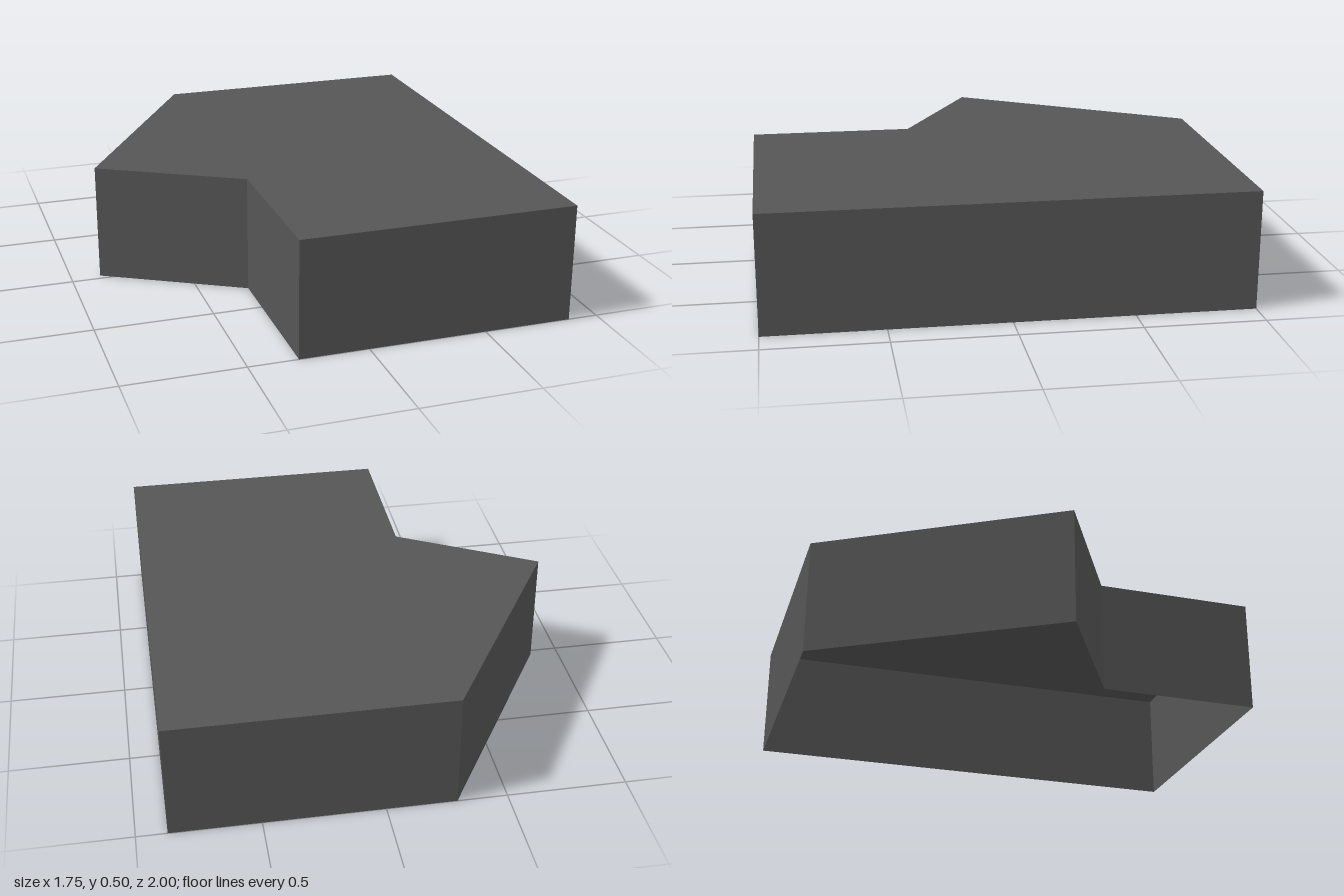
import * as THREE from 'three';

const HEIGHT = 0.5;

// Footprint seen from above, counter-clockwise, as (x, -z)
const OUTLINE = [
  [-0.292, 1], [-0.874, 0.03], [-0.292, -0.3],
  [-0.292, -1], [0.874, -1], [0.874, 1],
].map(([x, y]) => new THREE.Vector2(x, y));

export function createModel() {
  const model = new THREE.Group();
  model.name = 'openShell';

  const darkGrey = new THREE.MeshStandardMaterial({ color: 0x555555, side: THREE.DoubleSide });
  darkGrey.name = 'dark grey';

  // Flat top plate
  const topGeometry = new THREE.ShapeGeometry(new THREE.Shape(OUTLINE));
  topGeometry.rotateX(-Math.PI / 2);
  const top = new THREE.Mesh(topGeometry, darkGrey);
  top.name = 'topPlate';
  top.position.y = HEIGHT;
  model.add(top);

  // One thin wall along each edge; the underside stays open
  const walls = new THREE.Group();
  walls.name = 'walls';
  OUTLINE.forEach((a, i) => {
    const b = OUTLINE[(i + 1) % OUTLINE.length];
    const wall = new THREE.Mesh(new THREE.PlaneGeometry(a.distanceTo(b), HEIGHT), darkGrey);
    wall.name = `wall${i + 1}`;
    wall.position.set((a.x + b.x) / 2, HEIGHT / 2, -(a.y + b.y) / 2);
    wall.rotation.y = Math.atan2(b.y - a.y, b.x - a.x);
    walls.add(wall);
  });
  model.add(walls);

  return model;
}
